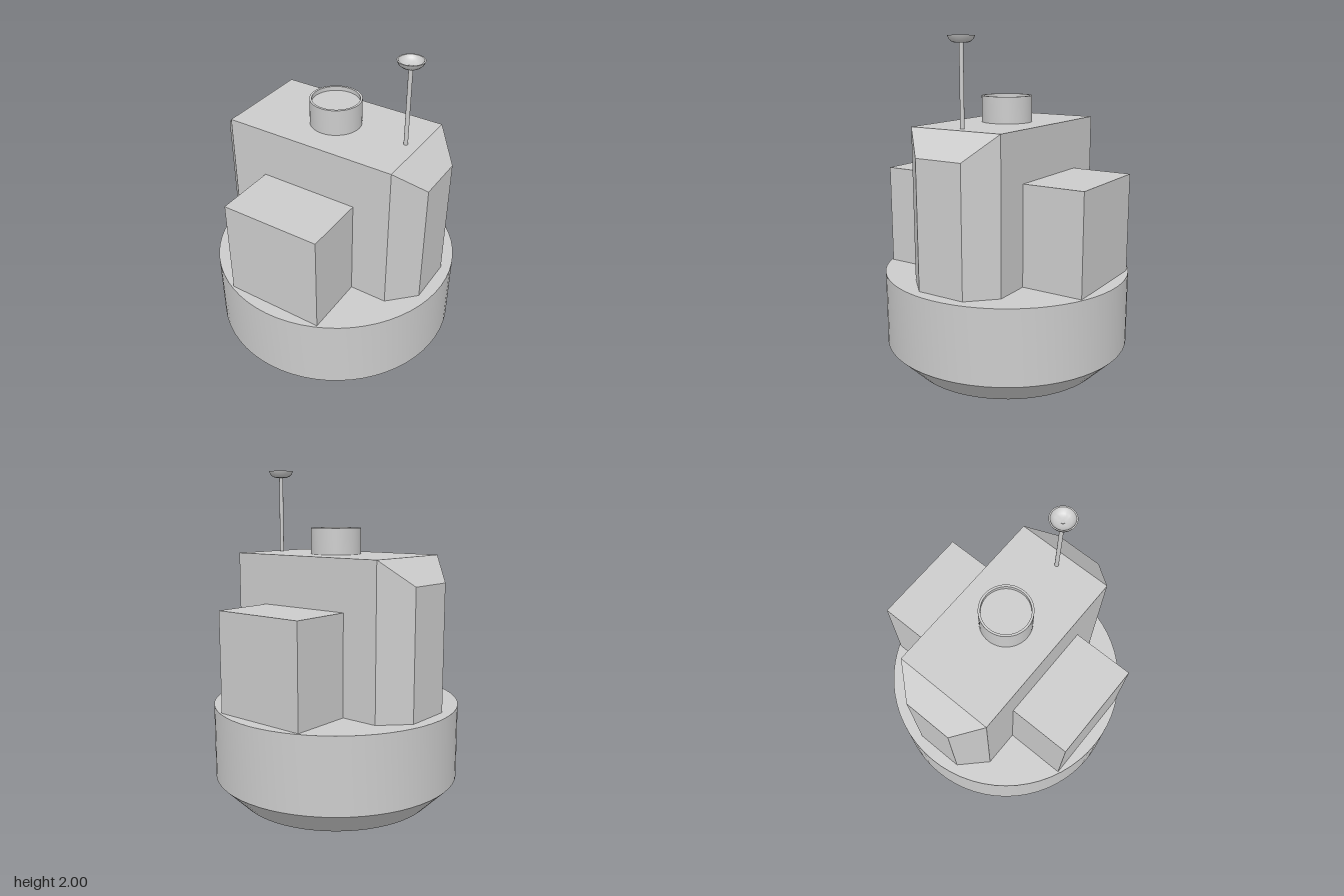
import * as THREE from 'three';
import { toCreasedNormals } from 'three/addons/utils/BufferGeometryUtils.js';

const material = new THREE.MeshStandardMaterial({ color: 0xcccccc });

function part(name, geometry, x = 0, y = 0, z = 0) {
  const mesh = new THREE.Mesh(geometry, material);
  mesh.name = name;
  mesh.position.set(x, y, z);
  return mesh;
}

// Turned solid; the profile runs from the bottom, outside, up and back in
function turned(profile, sides, crease = 0.4) {
  const points = profile.map(([r, y]) => new THREE.Vector2(r, y));
  return toCreasedNormals(new THREE.LatheGeometry(points, sides), crease);
}

// Solid lofted along x through rectangular sections [x, half depth, top], open underneath
function loftedBody(sections, bottom) {
  const positions = [];
  const loops = sections.map(([x, d, top]) => [
    [x, bottom, d], [x, top, d], [x, top, -d], [x, bottom, -d],
  ]);
  const quad = (a, b, c, d) => positions.push(...a, ...b, ...c, ...a, ...c, ...d);
  for (let i = 0; i < loops.length - 1; i++) {
    const p = loops[i], q = loops[i + 1];
    for (let k = 0; k < 4; k++) {
      const n = (k + 1) % 4;
      quad(p[k], q[k], q[n], p[n]);
    }
  }
  const first = loops[0], last = loops[loops.length - 1];
  quad(first[0], first[1], first[2], first[3]);
  quad(last[3], last[2], last[1], last[0]);
  const geometry = new THREE.BufferGeometry();
  geometry.setAttribute('position', new THREE.Float32BufferAttribute(positions, 3));
  geometry.computeVertexNormals();
  return geometry;
}

export function createModel() {
  const model = new THREE.Group();
  model.name = 'model';

  // Round base with a chamfered foot and a recess underneath
  model.add(part('base', turned([
    [0, 0.3], [0.1875, 0.3], [0.1875, 0], [0.6, 0], [0.75, 0.15], [0.75, 0.6], [0, 0.6],
  ], 64)));

  // Tall body with bevelled ends
  model.add(part('body', loftedBody([
    [-0.675, 0.15, 1.355], [-0.525, 0.3, 1.5], [0.525, 0.3, 1.5], [0.675, 0.15, 1.355],
  ], 0.6)));

  // Block on the front and on the back
  for (const side of [1, -1]) {
    model.add(part(side > 0 ? 'frontBlock' : 'backBlock',
      new THREE.BoxGeometry(0.6, 0.6, 0.375), 0, 0.9, side * 0.4875));
  }

  // Rimmed collar on the roof
  model.add(part('roofCollar', turned([
    [0.15, 1.5], [0.15, 1.655], [0.137, 1.655], [0.137, 1.63], [0, 1.63],
  ], 48)));

  // Antenna: thin mast carrying a shallow dish
  const antenna = new THREE.Group();
  antenna.name = 'antenna';
  antenna.position.x = 0.45;
  antenna.add(part('mast', new THREE.CylinderGeometry(0.012, 0.012, 0.47, 16), 0, 1.735, 0));
  antenna.add(part('dish', turned([
    [0, 1.959], [0.035, 1.96], [0.053, 1.967], [0.067, 1.98], [0.075, 2],
    [0.067, 2], [0.06, 1.985], [0.045, 1.973], [0.025, 1.968], [0, 1.966],
  ], 32, 0.8)));
  model.add(antenna);

  return model;
}
